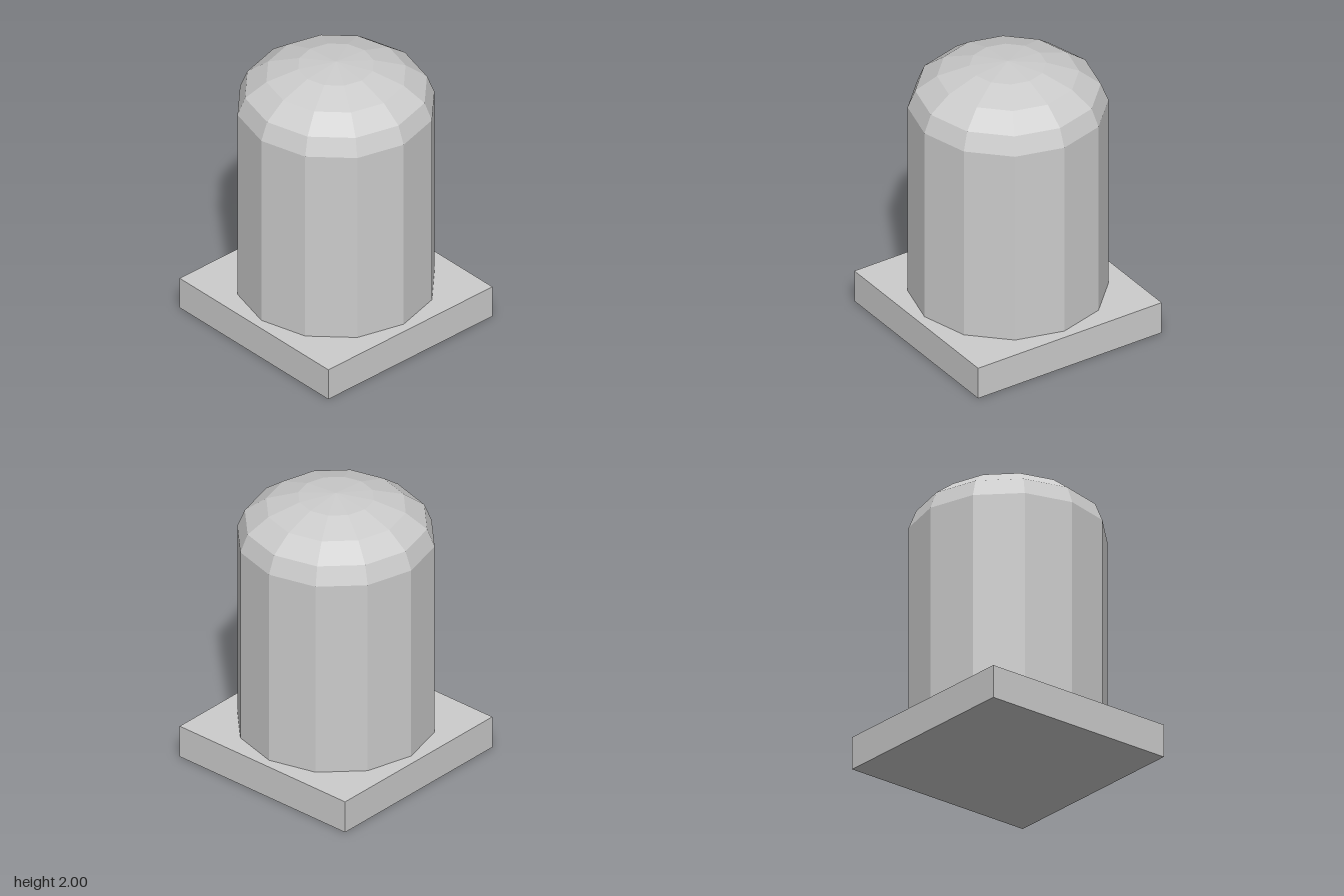
import * as THREE from 'three';

const SIDES = 12;
const RADIUS = 0.667;
const BASE_HEIGHT = 0.235;
const SHOULDER = 1.667; // where the wall meets the dome
const DOME_HEIGHT = 2 - SHOULDER;
const DOME_RINGS = 4;

export function createModel() {
  const group = new THREE.Group();
  const material = new THREE.MeshStandardMaterial({ color: 0xcccccc, flatShading: true });

  const add = (name, geometry, y) => {
    const mesh = new THREE.Mesh(geometry, material);
    mesh.name = name;
    mesh.position.y = y;
    group.add(mesh);
  };

  // Square plinth
  add('base', new THREE.BoxGeometry(1.466, BASE_HEIGHT, 1.466), BASE_HEIGHT / 2);

  // Twelve-sided upright wall
  const wallHeight = SHOULDER - BASE_HEIGHT;
  add('body', new THREE.CylinderGeometry(RADIUS, RADIUS, wallHeight, SIDES, 1, true),
    BASE_HEIGHT + wallHeight / 2);

  // Flattened faceted dome
  const profile = [];
  for (let i = 0; i <= DOME_RINGS; i++) {
    const a = (i / DOME_RINGS) * Math.PI / 2;
    profile.push(new THREE.Vector2(
      i === DOME_RINGS ? 0 : RADIUS * Math.cos(a), DOME_HEIGHT * Math.sin(a)));
  }
  add('dome', new THREE.LatheGeometry(profile, SIDES), SHOULDER);

  return group;
}
